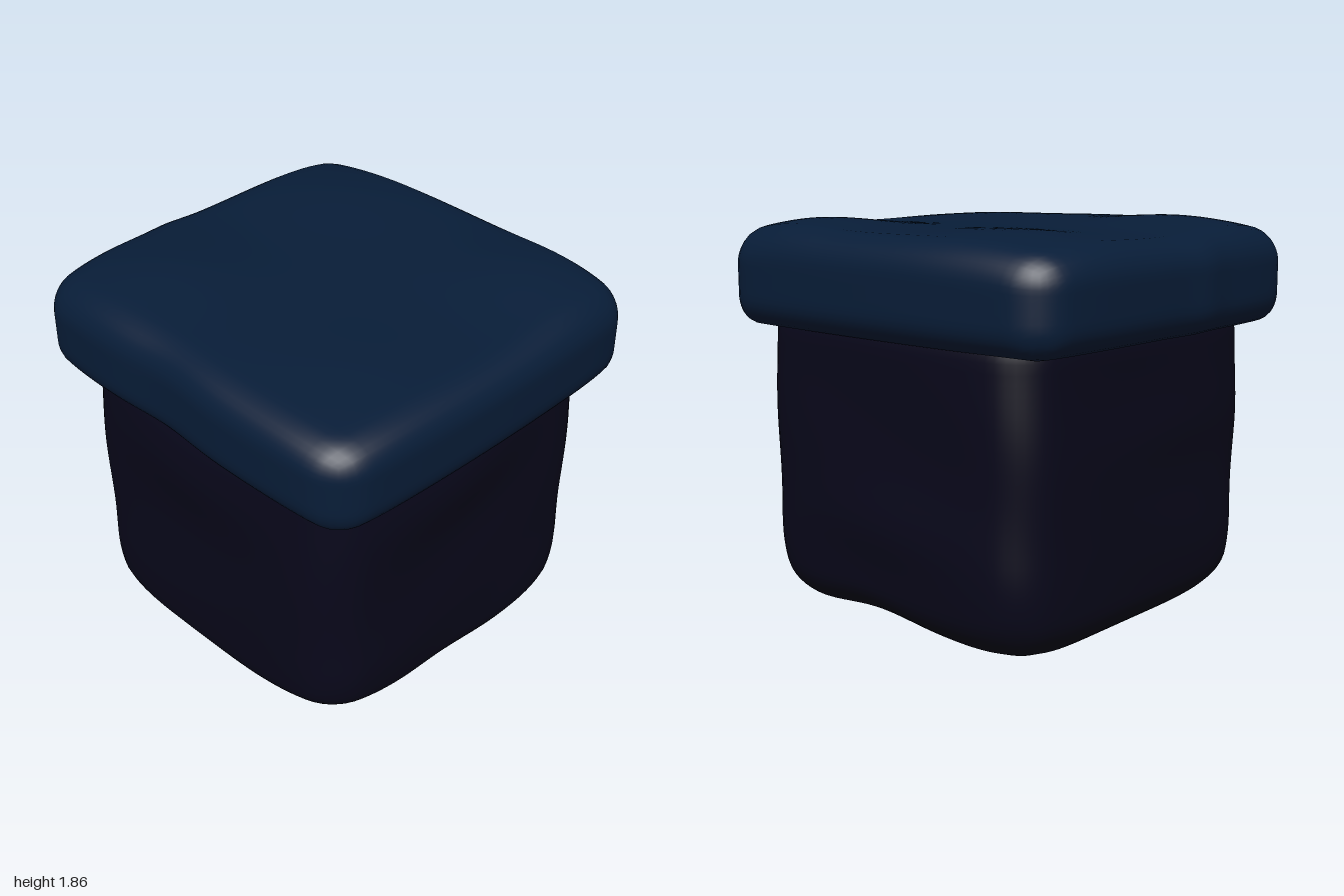
import * as THREE from 'three';
import { mergeVertices } from 'three/addons/utils/BufferGeometryUtils.js';

const bump = (v, centre, width) => Math.exp(-(((v - centre) / width) ** 2));
const spot = (x, z, cx, cz, width) => bump(x, cx, width) * bump(z, cz, width);

// Box with rounded edges whose surface is then pushed about by a rule
function softBox(name, color, min, max, radius, segments, deform) {
  const size = max.clone().sub(min);
  const centre = min.clone().add(max).multiplyScalar(0.5);
  const half = size.clone().multiplyScalar(0.5);
  let geo = new THREE.BoxGeometry(size.x, size.y, size.z, ...segments);
  geo.deleteAttribute('uv');
  geo.deleteAttribute('normal');
  geo = mergeVertices(geo);
  const pos = geo.attributes.position;
  const p = new THREE.Vector3();
  const core = half.clone().subScalar(radius);
  const inner = new THREE.Vector3();
  for (let i = 0; i < pos.count; i++) {
    p.fromBufferAttribute(pos, i);
    inner.copy(p).clamp(core.clone().negate(), core);
    p.sub(inner).setLength(radius).add(inner);
    const unit = p.clone().divide(half);
    p.add(centre);
    deform(p, unit);
    pos.setXYZ(i, p.x, p.y, p.z);
  }
  geo.computeVertexNormals();
  const mesh = new THREE.Mesh(geo, new THREE.MeshStandardMaterial({ color }));
  mesh.name = name;
  return mesh;
}

// Lumpy walls drawn in towards the upright edges, and an uneven, sagging underside
function deformBody(p, u) {
  const { x, y, z } = p;
  const right = Math.max(u.x, 0), left = Math.max(-u.x, 0);
  const front = Math.max(u.z, 0), back = Math.max(-u.z, 0);
  const ripple = 0.008 * Math.sin(5 * y + 4 * z) * Math.cos(4 * x - 3 * y);
  p.x -= u.x * (0.015 * u.z ** 2 + 0.055 * u.z ** 6);
  p.z -= u.z * (0.015 * u.x ** 2 + 0.055 * u.x ** 6);
  p.x += right * (0.045 * bump(y, 1.24, 0.2) * bump(z, 0.1, 0.5) + ripple);
  p.x -= left * (0.02 * bump(y, 0.95, 0.15) * bump(z, 0.1, 0.5) + ripple);
  p.z += front * (0.04 * bump(y, 1.18, 0.22) * bump(x, 0, 0.5) + ripple);
  p.z -= back * (0.025 * bump(y, 0.56, 0.17) * bump(x, 0, 0.5) + ripple);
  const low = THREE.MathUtils.clamp((0.5 - y) / 0.44, 0, 1);
  const lift = 0.05 * (u.x ** 4 + u.z ** 4) + 0.03 * (u.x * u.z) ** 4
    + 0.06 * spot(x, z, 0.75, 0.75, 0.4)
    + 0.05 * spot(x, z, 0.2, -0.8, 0.35)
    + 0.03 * spot(x, z, 0.8, 0.1, 0.3)
    - 0.02 * spot(x, z, -0.7, -0.7, 0.3)
    - 0.035 * spot(x, z, 0.08, 0.03, 0.25);
  p.y += low * lift;
  const taper = 1 - 0.04 * low * low;
  p.x *= taper;
  p.z *= taper;
}

// Bowed rim with blunt corners and a dented top
function deformLid(p, u) {
  const { x, z } = p;
  p.x += u.x * (0.02 - 0.03 * u.z ** 2 - 0.04 * u.z ** 8);
  p.z += u.z * (0.02 - 0.02 * u.x ** 2 - 0.04 * u.x ** 8);
  if (u.z > 0) p.z -= 0.025 * u.z * bump(x, -0.1, 0.25);
  if (u.z < 0) p.z += 0.015 * -u.z * bump(x, -0.75, 0.3);
  if (u.x < 0) p.x -= 0.015 * -u.x * bump(z, 0.18, 0.12);
  const top = Math.max(u.y, 0);
  const hills = spot(x, z, -0.55, 0.5, 0.36) + spot(x, z, 0.58, -0.62, 0.34)
    + 0.8 * spot(x, z, -0.5, -0.55, 0.38) + 0.4 * spot(x, z, 0.5, 0.4, 0.3);
  p.y += top * (0.05 * hills + 0.02 * bump(x, 0, 0.4)
    - 0.015 * (u.x ** 6 + u.z ** 6) - 0.05 * (u.x * u.z) ** 6);
}

export function createModel() {
  const group = new THREE.Group();
  group.name = 'lidded box';
  group.add(
    softBox('body', 0x08071a, new THREE.Vector3(-0.83, 0.035, -0.85),
      new THREE.Vector3(0.86, 1.48, 0.85), 0.14, [36, 32, 36], deformBody),
    softBox('lid', 0x081d38, new THREE.Vector3(-0.97, 1.37, -0.93),
      new THREE.Vector3(0.98, 1.81, 0.93), 0.14, [42, 14, 42], deformLid),
  );
  return group;
}
